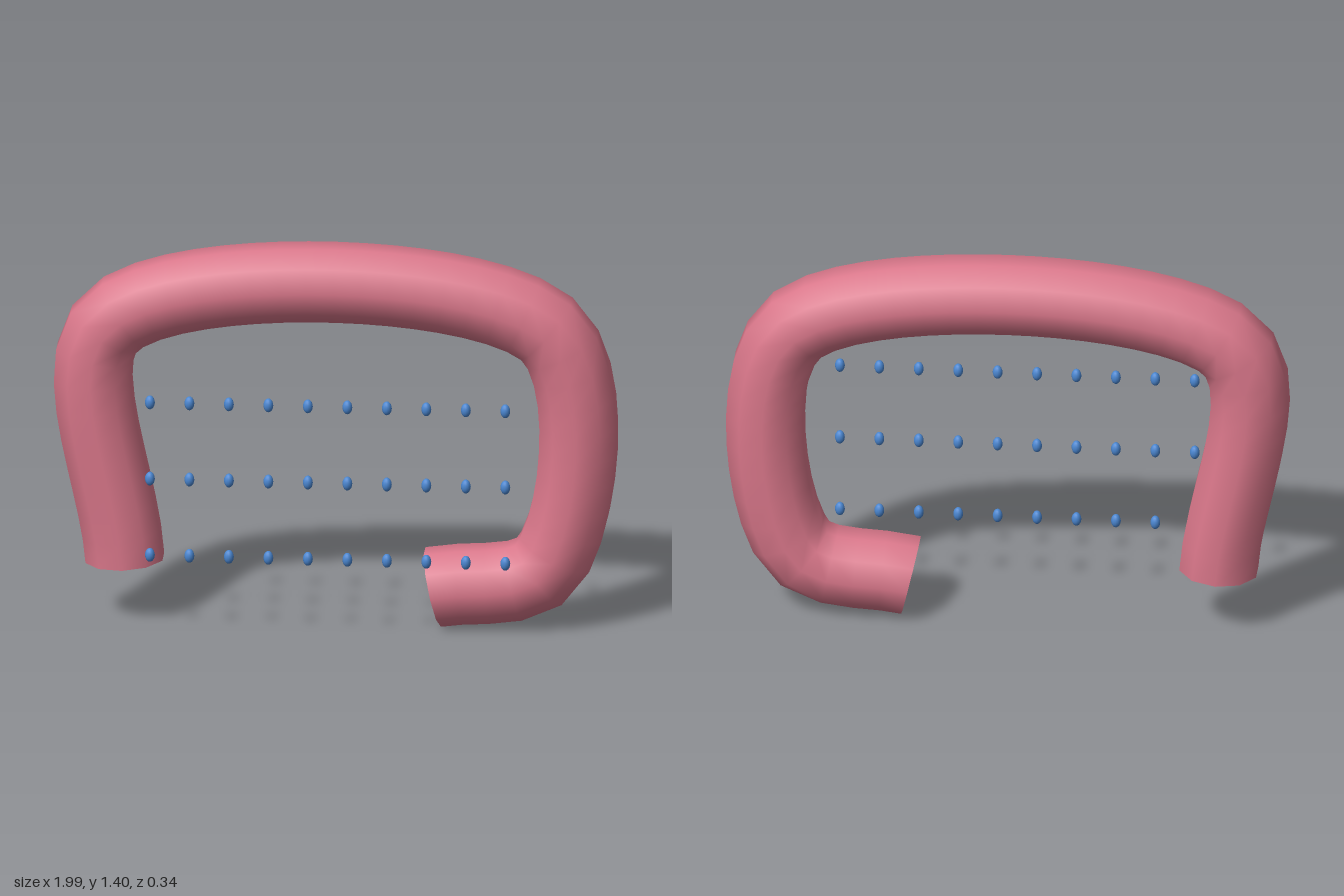
import * as THREE from 'three';

export function createModel() {
  const model = new THREE.Group();

  // Open bent tube, swept along a smooth path through its corners
  const path = new THREE.CatmullRomCurve3(
    [[-0.75, 0.217], [-0.8, 1.1], [0.76, 1.1], [0.745, 0.23], [0.343, 0.137]]
      .map(([x, y]) => new THREE.Vector3(x, y, -0.0285)),
  );
  const tube = new THREE.Mesh(
    new THREE.TubeGeometry(path, 40, 0.1435, 10, false),
    new THREE.MeshStandardMaterial({ color: 0xd9778a, side: THREE.DoubleSide }),
  );
  tube.name = 'bentTube';
  model.add(tube);

  // Three rows of ten small beads, slightly taller than wide
  const beads = new THREE.Group();
  beads.name = 'beads';
  const beadGeometry = new THREE.SphereGeometry(0.0175, 12, 10).scale(1, 1.45, 1);
  const beadMaterial = new THREE.MeshStandardMaterial({ color: 0x4a86d0 });
  for (let row = 0; row < 3; row++) {
    for (let col = 0; col < 10; col++) {
      const bead = new THREE.Mesh(beadGeometry, beadMaterial);
      bead.name = 'bead';
      bead.position.set(-0.647 + col * 0.14, 0.294 + row * 0.285, 0.155);
      beads.add(bead);
    }
  }
  model.add(beads);

  return model;
}
